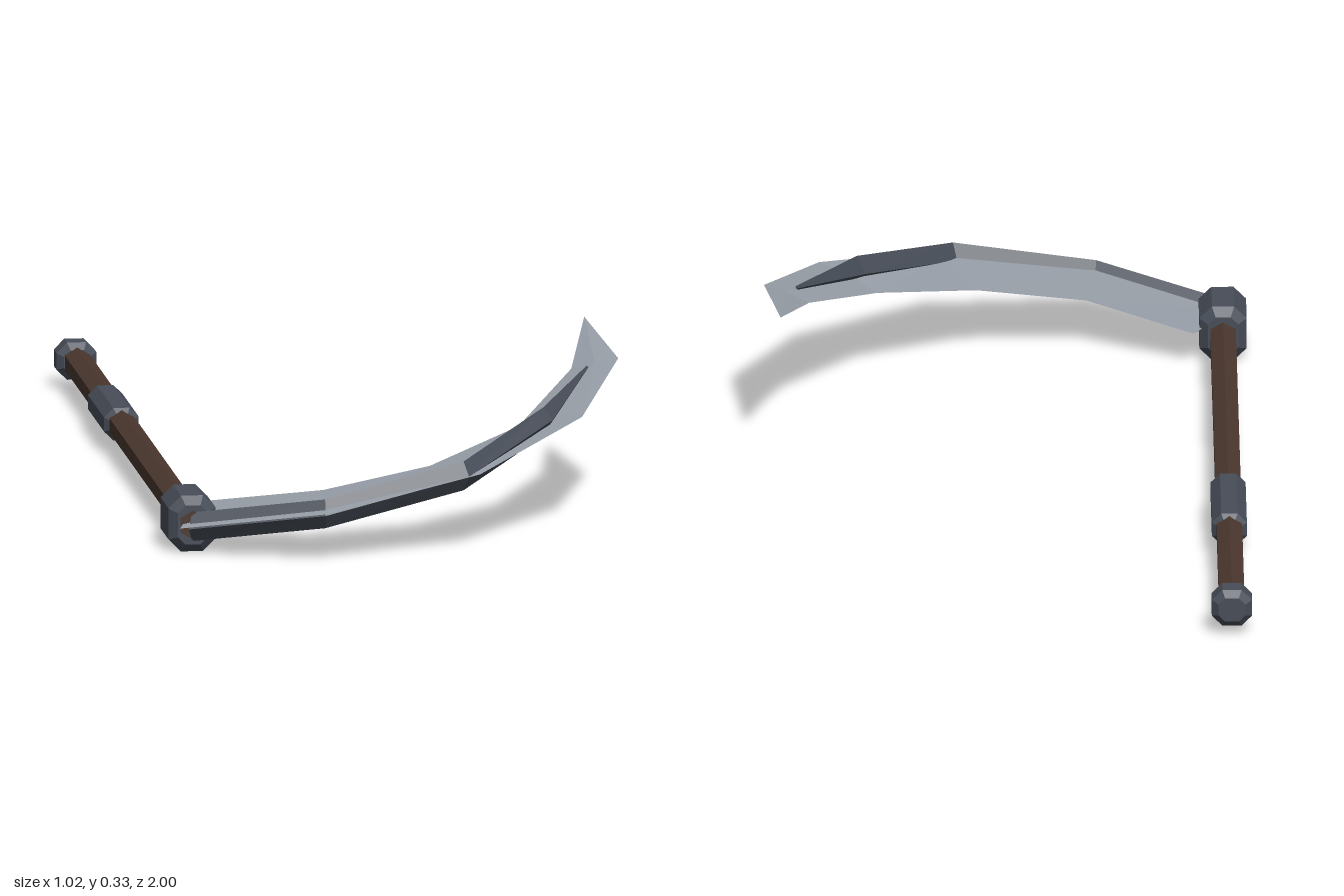
import * as THREE from 'three';

const X = -0.463, Y = 0.06; // shaft axis

// Faceted solid from rings ordered outer, top, inner, bottom
function loft(rings) {
  const pos = [];
  const tri = (...pts) => pts.forEach((p) => pos.push(p.x, p.y, p.z));
  const n = rings[0].length;
  for (let i = 0; i < rings.length - 1; i++) {
    for (let j = 0; j < n; j++) {
      const k = (j + 1) % n, r = rings[i], s = rings[i + 1];
      tri(r[j], s[j], s[k]);
      tri(r[j], s[k], r[k]);
    }
  }
  const a = rings[0], b = rings[rings.length - 1];
  for (let j = 1; j < n - 1; j++) {
    tri(a[0], a[j], a[j + 1]);
    tri(b[0], b[j + 1], b[j]);
  }
  const g = new THREE.BufferGeometry();
  g.setAttribute('position', new THREE.Float32BufferAttribute(pos, 3));
  g.computeVertexNormals();
  return g;
}

// Block with cut corners and bevelled ends, running from z0 to z1
function bevelledBlock(w, h, z0, z1, cut, bevel) {
  const a = w / 2 - bevel, b = h / 2 - bevel, c = cut;
  const pts = [[a, -b + c], [a, b - c], [a - c, b], [-a + c, b], [-a, b - c], [-a, -b + c], [-a + c, -b], [a - c, -b]];
  const shape = new THREE.Shape(pts.map(([x, y]) => new THREE.Vector2(x, y)));
  const g = new THREE.ExtrudeGeometry(shape, {
    depth: z1 - z0 - 2 * bevel, bevelEnabled: true, bevelThickness: bevel, bevelSize: bevel, bevelSegments: 1,
  });
  return g.translate(X, Y, z0 + bevel);
}

export function createModel() {
  const wood = new THREE.MeshStandardMaterial({ name: 'dark wood', color: 0x4c382f, flatShading: true });
  const iron = new THREE.MeshStandardMaterial({ name: 'slate iron', color: 0x474d58, flatShading: true });
  const steel = new THREE.MeshStandardMaterial({ name: 'blade steel', color: 0x989fa8, flatShading: true });

  const group = new THREE.Group();
  group.name = 'scythe';
  const add = (name, geometry, material) => {
    const mesh = new THREE.Mesh(geometry, material);
    mesh.name = name;
    group.add(mesh);
  };

  // Shaft and fittings
  const shaft = new THREE.CylinderGeometry(0.031, 0.031, 1.8, 6);
  shaft.rotateX(Math.PI / 2).translate(X, Y, -0.065);
  add('shaft', shaft, wood);
  add('pommel', bevelledBlock(0.085, 0.08, -1, -0.93, 0.014, 0.014), iron);
  add('grip', bevelledBlock(0.074, 0.07, -0.515, -0.25, 0.014, 0.01), iron);
  add('head', bevelledBlock(0.1, 0.12, 0.675, 0.832, 0.016, 0.018), iron);

  // Blade stations: outer edge, rib line, inner edge
  const stations = [
    [[-0.495, 0.058, 0.857], [-0.465, 0.056, 0.83], [-0.4, 0.075, 0.65]],
    [[-0.198, 0.108, 0.995], [-0.198, 0.1, 0.95], [-0.175, 0.112, 0.755]],
    [[0.138, 0.168, 0.912], [0.105, 0.162, 0.893], [0.058, 0.15, 0.717]],
    [[0.39, 0.235, 0.662], [0.31, 0.224, 0.645], [0.268, 0.2, 0.567]],
    [[0.51, 0.297, 0.355], [0.44, 0.283, 0.376], [0.415, 0.27, 0.318]],
  ].map((s) => s.map((p) => new THREE.Vector3(...p)));
  const tip = new THREE.Vector3(0.478, 0.33, 0.065);
  const lift = (p, d) => new THREE.Vector3(p.x, p.y + d, p.z);

  // Thin blade, thickest between its two edges
  const bladeRings = stations.map(([o, m, i]) => {
    const mid = o.clone().lerp(i, Math.min(0.5, m.distanceTo(o) / o.distanceTo(i)));
    return [o, lift(mid, 0.005), i, lift(mid, -0.005)];
  });
  bladeRings.push([tip, tip, tip, tip]);
  add('blade', loft(bladeRings), steel);

  // Raised rib following the back of the blade, fading to a point
  const ribRings = stations.map(([o, m, i], k) => {
    const s = k === 4 ? 0.15 : 1;
    const across = o.clone().sub(i).normalize().multiplyScalar(0.023 * s);
    return [m.clone().add(across), lift(m, 0.031 * s), m.clone().sub(across), lift(m, -0.031 * s)];
  });
  add('bladeRib', loft(ribRings), iron);

  return group;
}
